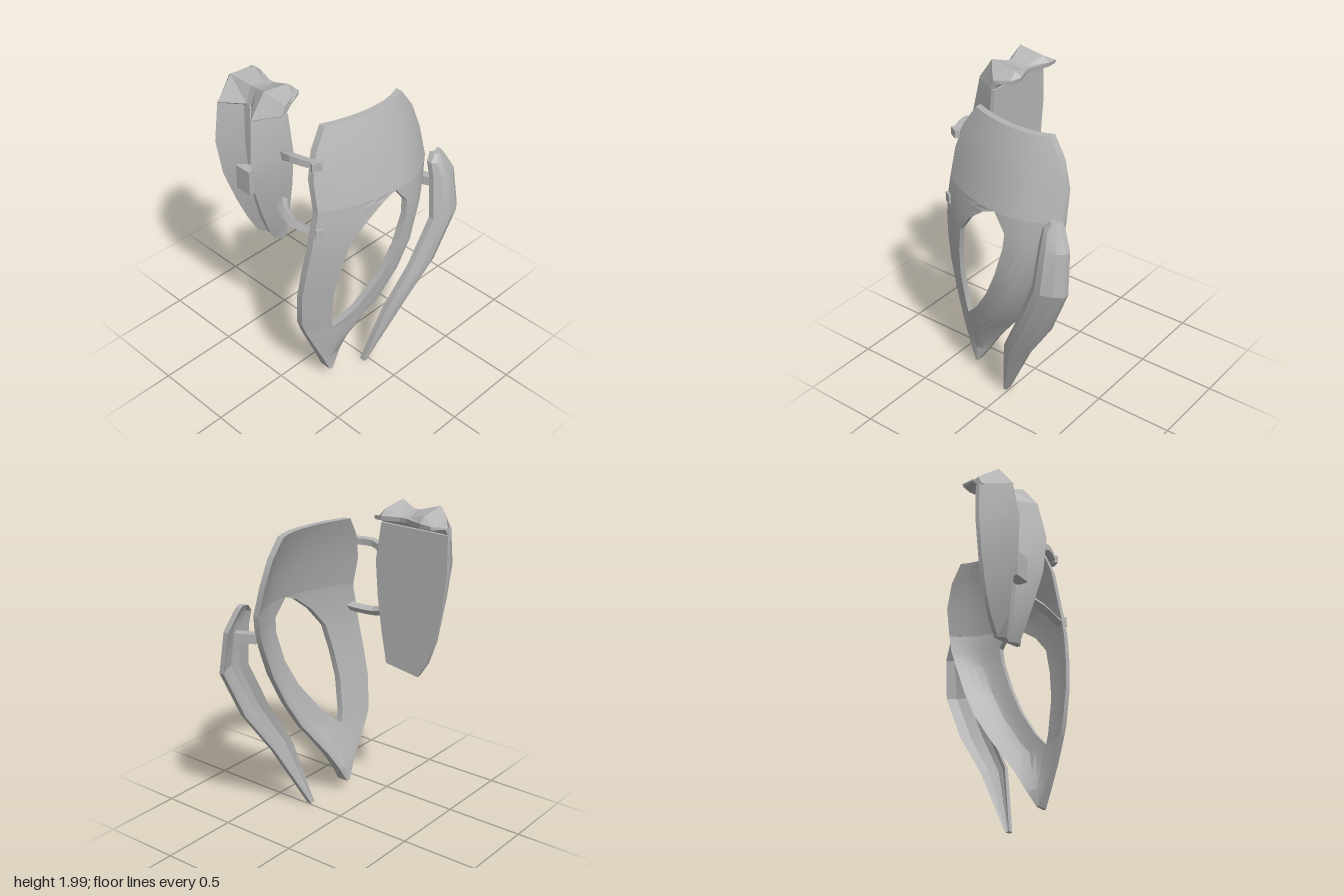
import * as THREE from 'three';
import { toCreasedNormals } from 'three/addons/utils/BufferGeometryUtils.js';

const metal = new THREE.MeshStandardMaterial({ color: 0xb4b4b4, side: THREE.DoubleSide });

function part(name, geometry) {
  const mesh = new THREE.Mesh(toCreasedNormals(geometry, 0.3), metal);
  mesh.name = name;
  return mesh;
}

// Skin a solid through sections; each section is { front, back }, two matching rows of points.
function loft(name, sections) {
  const n = sections[0].front.length, m = 2 * n, pos = [], idx = [];
  sections.forEach(s => [...s.front, ...[...s.back].reverse()].forEach(p => pos.push(...p)));
  for (let i = 0; i < sections.length - 1; i++) {
    for (let j = 0; j < m; j++) {
      const a = i * m + j, b = i * m + (j + 1) % m, c = a + m, d = b + m;
      idx.push(a, c, b, b, c, d);
    }
  }
  const last = (sections.length - 1) * m;
  for (let j = 0; j < n - 1; j++) {
    const a = j, b = j + 1, c = m - 2 - j, d = m - 1 - j;
    idx.push(a, b, c, a, c, d);
    idx.push(last + a, last + c, last + b, last + a, last + d, last + c);
  }
  const g = new THREE.BufferGeometry();
  g.setAttribute('position', new THREE.Float32BufferAttribute(pos, 3));
  g.setIndex(idx);
  return part(name, g);
}

// Curved sheet from rows [y, xLeft, xRight, crownZ, curl]; the crown sits near x = 0.1
// and curl bends the right-hand rim backwards.
function shellPatch(name, rows, cols, thick = () => 0.042) {
  return loft(name, rows.map(([y, x0, x1, crown, curl = 0]) => {
    const front = [], back = [];
    for (let j = 0; j <= cols; j++) {
      const x = x0 + (x1 - x0) * j / cols, dx = x - 0.1;
      const rim = Math.max(0, 1 - (x1 - x) / 0.15);
      const z = crown - (dx < 0 ? 0.6 : 1.2) * dx * dx - curl * rim ** 1.5;
      front.push([x, y, z]);
      back.push([x, y, z - thick(y)]);
    }
    return { front, back };
  }));
}

function arm(name, points) {
  const curve = new THREE.CatmullRomCurve3(points.map(p => new THREE.Vector3(...p)));
  return part(name, new THREE.TubeGeometry(curve, 6, 0.029, 4));
}

function box(name, size, at, turn = 0) {
  const mesh = part(name, new THREE.BoxGeometry(...size));
  mesh.position.set(...at);
  mesh.rotation.y = turn;
  return mesh;
}

export function createModel() {
  const model = new THREE.Group();
  model.name = 'armourPlates';

  // Front plate with its tall opening: top band, two legs and the shared tip
  const plate = new THREE.Group();
  plate.name = 'frontPlate';
  plate.add(
    shellPatch('plateTop', [[1.86, -0.28, 0.28, 0.27], [1.74, -0.36, 0.36, 0.325],
      [1.58, -0.41, 0.41, 0.38], [1.4, -0.42, 0.42, 0.43]], 8),
    shellPatch('plateRightLeg', [[1.4, -0.42, 0.04, 0.43], [1.365, -0.425, -0.05, 0.435],
      [1.27, -0.445, -0.17, 0.445], [1.14, -0.465, -0.27, 0.45], [0.97, -0.485, -0.31, 0.44],
      [0.78, -0.497, -0.335, 0.42], [0.55, -0.48, -0.325, 0.385], [0.48, -0.46, -0.31, 0.375]], 4),
    shellPatch('plateLeftLeg', [[1.4, 0.04, 0.42, 0.43], [1.29, 0.12, 0.405, 0.443, 0.02],
      [1.19, 0.11, 0.375, 0.45, 0.045], [0.98, 0.04, 0.3, 0.445, 0.09], [0.8, -0.05, 0.215, 0.425, 0.12],
      [0.6, -0.19, 0.085, 0.4, 0.12], [0.48, -0.31, -0.01, 0.375, 0.11]], 6),
    shellPatch('plateTip', [[0.48, -0.46, -0.01, 0.375, 0.11], [0.33, -0.4, -0.125, 0.36, 0.09],
      [0.2, -0.345, -0.21, 0.345, 0.06], [0.09, -0.3, -0.28, 0.335, 0.01]], 9,
      y => 0.042 + (0.48 - y) * 0.08));
  model.add(plate);

  // Curved side blade: rows [y, xLeft, xRight, ridgeZ]
  const blade = [[1.455, 0.4, 0.465, 0.41], [1.41, 0.362, 0.49, 0.44], [1.31, 0.356, 0.54, 0.483],
    [1.05, 0.335, 0.555, 0.525], [0.74, 0.2, 0.42, 0.49], [0.45, 0.05, 0.225, 0.42],
    [0.01, -0.04, -0.01, 0.285]];
  model.add(loft('sideBlade', blade.map(([y, x0, x1, ridge]) => {
    const w = (x1 - x0) / 0.2;
    const front = [[0, -0.05], [0.2, -0.012], [0.42, 0], [0.75, -0.02], [1, -0.055]]
      .map(([u, d]) => [x0 + (x1 - x0) * u, y, ridge + d * w]);
    return { front, back: front.map(([x, yy, z]) => [x, yy, z - 0.035]) };
  })));
  model.add(box('bladeClip', [0.05, 0.06, 0.13], [0.41, 1.255, 0.375], 0.45));

  // Rear pod, flat inside with two lobes outside: rows [y, zBack, zFront, lobeX, valleyX, tilt]
  const flat = -0.33;
  const pod = [[1.86, -0.52, -0.05, -0.52, -0.42, 0], [1.62, -0.522, -0.013, -0.56, -0.44, 0],
    [1.4, -0.495, -0.03, -0.535, -0.43, 0], [1.19, -0.455, -0.06, -0.47, -0.405, 0],
    [1.05, -0.4, -0.085, -0.42, -0.38, 0.02], [0.958, -0.335, -0.1, -0.38, -0.355, 0.035]];
  model.add(loft('rearPod', pod.map(([y, z0, z1, lobe, valley, tilt]) => {
    const front = [[0, flat - 0.025], [0.22, lobe], [0.45, valley], [0.55, valley], [0.8, lobe], [1, flat - 0.025]]
      .map(([u, x]) => [x, y + (u - 0.5) * tilt, z0 + (z1 - z0) * u]);
    return { front, back: front.map(p => [flat, p[1], p[2]]) };
  })));
  model.add(box('podGrip', [0.07, 0.16, 0.11], [-0.453, 1.38, -0.275]));

  // Hooked lip closing the pod: sections [z, outerX, shoulderX, topY, lipX]
  const lip = [[-0.515, -0.37, -0.345, 1.915, -0.3], [-0.48, -0.41, -0.37, 1.945, -0.207],
    [-0.41, -0.52, -0.42, 2, -0.205], [-0.285, -0.42, -0.385, 1.965, -0.245],
    [-0.245, -0.42, -0.385, 1.965, -0.245], [-0.14, -0.52, -0.42, 2, -0.205],
    [-0.09, -0.43, -0.38, 1.95, -0.207], [-0.055, -0.37, -0.345, 1.915, -0.3]];
  model.add(loft('podLip', lip.map(([z, outer, shoulder, top, tip]) => ({
    front: [[outer, 1.86, z], [shoulder, top, z], [tip - 0.04, top - 0.025, z], [tip, Math.min(1.94, top - 0.012), z]],
    back: [[outer + 0.01, 1.85, z], [-0.335, 1.865, z], [-0.305, 1.9, z], [tip - 0.005, 1.912, z]],
  }))));

  // Arms joining the pod to the front plate, with pads where they grip its edge
  model.add(
    arm('upperArm', [[-0.36, 1.6, -0.03], [-0.41, 1.655, 0], [-0.435, 1.685, 0.06], [-0.41, 1.69, 0.18], [-0.375, 1.69, 0.25]]),
    arm('lowerArm', [[-0.36, 1.3, -0.08], [-0.41, 1.28, -0.03], [-0.44, 1.245, 0.08], [-0.425, 1.245, 0.18], [-0.42, 1.25, 0.27]]),
    box('upperPad', [0.06, 0.05, 0.03], [-0.395, 1.685, 0.235], -0.5),
    box('lowerPad', [0.05, 0.06, 0.03], [-0.42, 1.265, 0.28], -0.5));
  return model;
}
